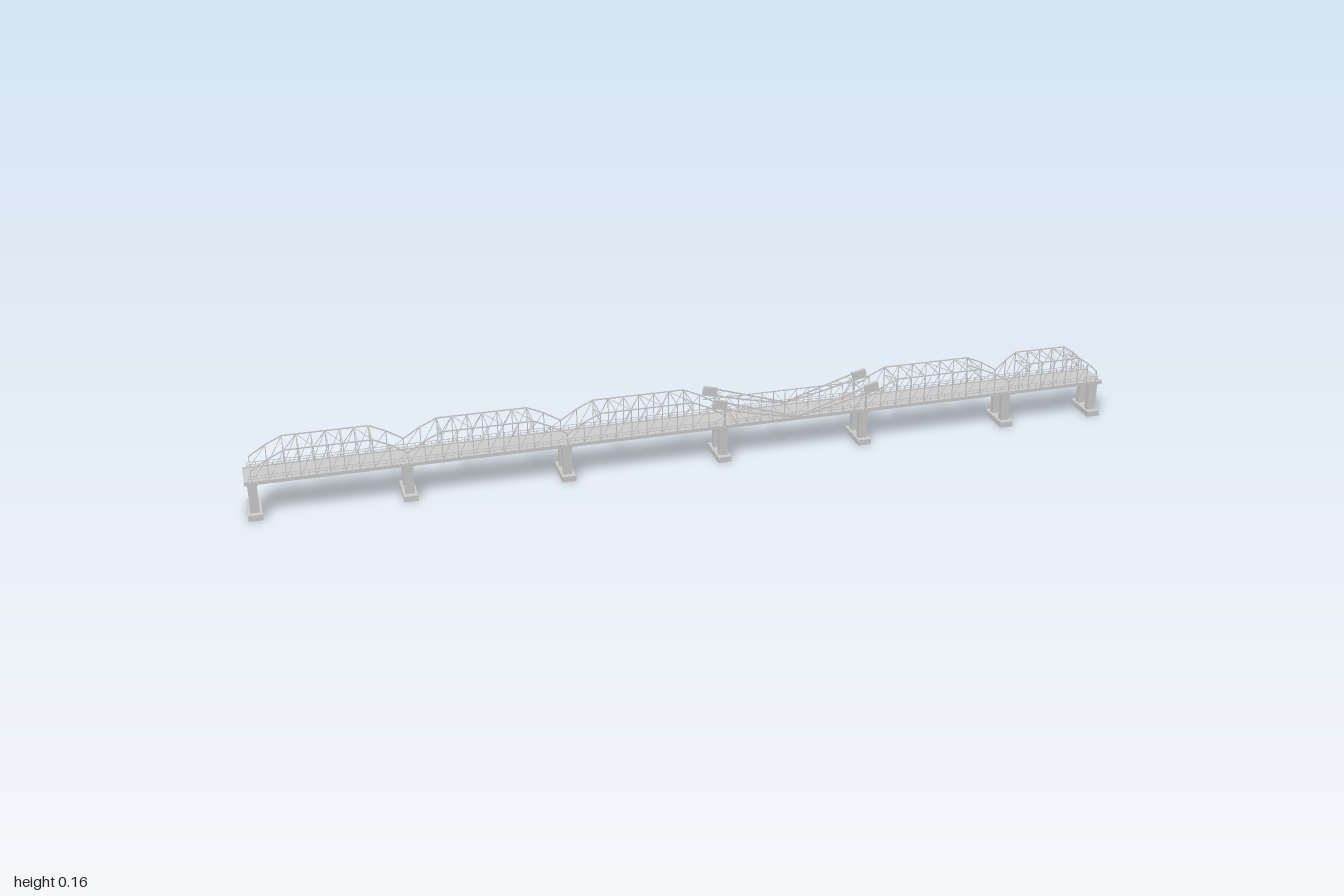
import * as THREE from 'three';
import { mergeGeometries } from 'three/addons/utils/BufferGeometryUtils.js';

const material = new THREE.MeshStandardMaterial({ color: 0xcccccc, flatShading: true });
const piers = [-0.984, -0.655, -0.305, 0.056, 0.395, 0.756, 0.984];
const DECK = 0.09, TOP = 0.155, KNEE = 0.115, SIDE = 0.038;
const T = 0.0018;

// Straight square bar between two points
function bar(a, b, t = T) {
  const p = new THREE.Vector3(...a), q = new THREE.Vector3(...b);
  const d = q.clone().sub(p);
  const g = new THREE.BoxGeometry(t, t, d.length());
  const o = new THREE.Object3D();
  o.position.copy(p).add(q).multiplyScalar(0.5);
  o.lookAt(q);
  o.updateMatrix();
  return g.applyMatrix4(o.matrix);
}

function block(w, h, d, x, y, z) {
  return new THREE.BoxGeometry(w, h, d).translate(x, y, z);
}

function addPart(group, name, geometries) {
  const mesh = new THREE.Mesh(mergeGeometries(geometries), material);
  mesh.name = name;
  group.add(mesh);
}

// Height of the top chord: sloped ends in two pitches, level in the middle
function chordHeight(x, x0, x1) {
  const ramp = Math.min(0.075, (x1 - x0) * 0.22);
  const u = Math.min(1, Math.min(x - x0, x1 - x) / ramp);
  return KNEE + (TOP - KNEE) * (u < 0.5 ? u * 1.15 : 0.575 + (u - 0.5) * 0.85);
}

function trussSpan(x0, x1) {
  const parts = [];
  const ramp = Math.min(0.075, (x1 - x0) * 0.22);
  const inner = Math.max(4, 2 * Math.round((x1 - x0 - 2 * ramp) / 0.07));
  // Panel points, with two panels on each sloping end
  const xs = [x0, x0 + ramp / 2];
  for (let i = 0; i <= inner; i++) xs.push(x0 + ramp + (x1 - x0 - 2 * ramp) * i / inner);
  xs.push(x1 - ramp / 2, x1);
  const ys = xs.map(x => chordHeight(x, x0, x1));

  for (const z of [-SIDE, SIDE]) {
    for (let i = 0; i < xs.length; i++) {
      parts.push(bar([xs[i], DECK, z], [xs[i], ys[i], z]));
      if (i === xs.length - 1) continue;
      parts.push(bar([xs[i], ys[i], z], [xs[i + 1], ys[i + 1], z], 0.0025));
      parts.push(bar([xs[i], DECK, z], [xs[i + 1], ys[i + 1], z], 0.0013));
    }
  }
  // Cross struts and lateral bracing between the top chords
  for (let i = 2; i < xs.length - 2; i++) {
    parts.push(bar([xs[i], ys[i], -SIDE], [xs[i], ys[i], SIDE]));
    if (i < xs.length - 3) {
      const s = i % 2 ? 1 : -1;
      parts.push(bar([xs[i], TOP, -s * SIDE], [xs[i + 1], TOP, s * SIDE], 0.0013));
    }
  }
  // Portal frames where the level chord begins and ends
  for (const i of [2, xs.length - 3]) {
    parts.push(bar([xs[i], 0.135, -SIDE], [xs[i], 0.135, SIDE]));
    for (const s of [-1, 1]) {
      parts.push(bar([xs[i], 0.135, -s * SIDE], [xs[i], TOP, s * SIDE], 0.0013));
    }
  }
  return parts;
}

function pier(x) {
  const g = new THREE.Group();
  g.name = 'pier';
  addPart(g, 'footing', [block(0.031, 0.013, 0.085, x, 0.0065, 0)]);
  addPart(g, 'columns', [-1, 1].map(s => block(0.02, 0.071, 0.015, x, 0.0485, s * 0.022)));
  addPart(g, 'pierCap', [block(0.026, 0.007, 0.082, x, 0.0855, 0)]);
  return g;
}

function bascule(x0, x1) {
  const g = new THREE.Group();
  g.name = 'liftingSpan';
  const mid = (x0 + x1) / 2;
  const weights = [], arms = [], frame = [];
  for (const s of [-1, 1]) {
    const z = s * 0.039;
    // Level side frame
    frame.push(bar([x0 - 0.03, 0.125, z], [x1 + 0.03, 0.125, z], 0.0022));
    const n = 12;
    for (let i = 0; i <= n; i++) {
      const x = x0 + (x1 - x0) * i / n;
      frame.push(bar([x, DECK, z], [x, 0.125, z], 0.0014));
      if (i < n) {
        const nx = x + (x1 - x0) / n, up = i < n / 2;
        frame.push(bar([x, up ? 0.125 : DECK, z], [nx, up ? DECK : 0.125, z], 0.0012));
      }
    }
    for (const e of [-1, 1]) {
      const end = e < 0 ? x0 : x1;
      // Counterweight tilted along its arm
      const w = new THREE.BoxGeometry(0.033, 0.021, 0.008);
      w.rotateZ(e * 0.22).translate(end + e * 0.012, 0.143, s * 0.0395);
      weights.push(w);
      // Tapering arm from counterweight to mid span
      const top = x => 0.147 - 0.053 * (end - x) / (end - mid);
      const low = x => {
        const u = (end - x) / (end - mid);
        return 0.133 - 0.041 * Math.pow(u, 0.8);
      };
      const m = 7;
      for (let i = 0; i < m; i++) {
        const a = end + (mid - end) * i / m, b = end + (mid - end) * (i + 1) / m;
        arms.push(bar([a, top(a), s * 0.0415], [b, top(b), s * 0.0415], 0.003));
        arms.push(bar([a, low(a), s * 0.0415], [b, low(b), s * 0.0415], 0.003));
        arms.push(bar([a, low(a), s * 0.0415], [b, top(b), s * 0.0415], 0.0013));
      }
      // Support tower
      arms.push(bar([end, DECK, z], [end, 0.14, z], 0.004));
      arms.push(bar([end - e * 0.03, DECK, z], [end, 0.138, z], 0.0025));
    }
  }
  for (const x of [x0, x1]) frame.push(bar([x, 0.125, -SIDE], [x, 0.125, SIDE], 0.0022));
  addPart(g, 'counterweights', weights);
  addPart(g, 'liftArms', arms);
  addPart(g, 'sideFrames', frame);
  return g;
}

export function createModel() {
  const model = new THREE.Group();
  model.name = 'bridge';

  piers.forEach(x => model.add(pier(x)));

  // Roadway with edge girders
  addPart(model, 'deck', [block(2, 0.005, 0.076, 0, 0.0865, 0)]);
  addPart(model, 'edgeGirders', [-1, 1].map(s => block(2, 0.008, 0.004, 0, 0.087, s * 0.038)));

  // Low railing along both edges
  const rail = [];
  for (const s of [-1, 1]) {
    const z = s * 0.036;
    for (const y of [0.096, 0.102]) rail.push(bar([-0.99, y, z], [0.99, y, z], 0.0012));
    for (let i = 0; i <= 110; i++) {
      const x = -0.99 + 1.98 * i / 110;
      rail.push(bar([x, DECK, z], [x, 0.102, z], 0.0012));
    }
  }
  addPart(model, 'railing', rail);

  // Truss spans, with the lifting span between the fourth and fifth piers
  for (let i = 0; i < piers.length - 1; i++) {
    if (i === 3) model.add(bascule(piers[i], piers[i + 1]));
    else addPart(model, 'trussSpan', trussSpan(piers[i], piers[i + 1]));
  }
  return model;
}
